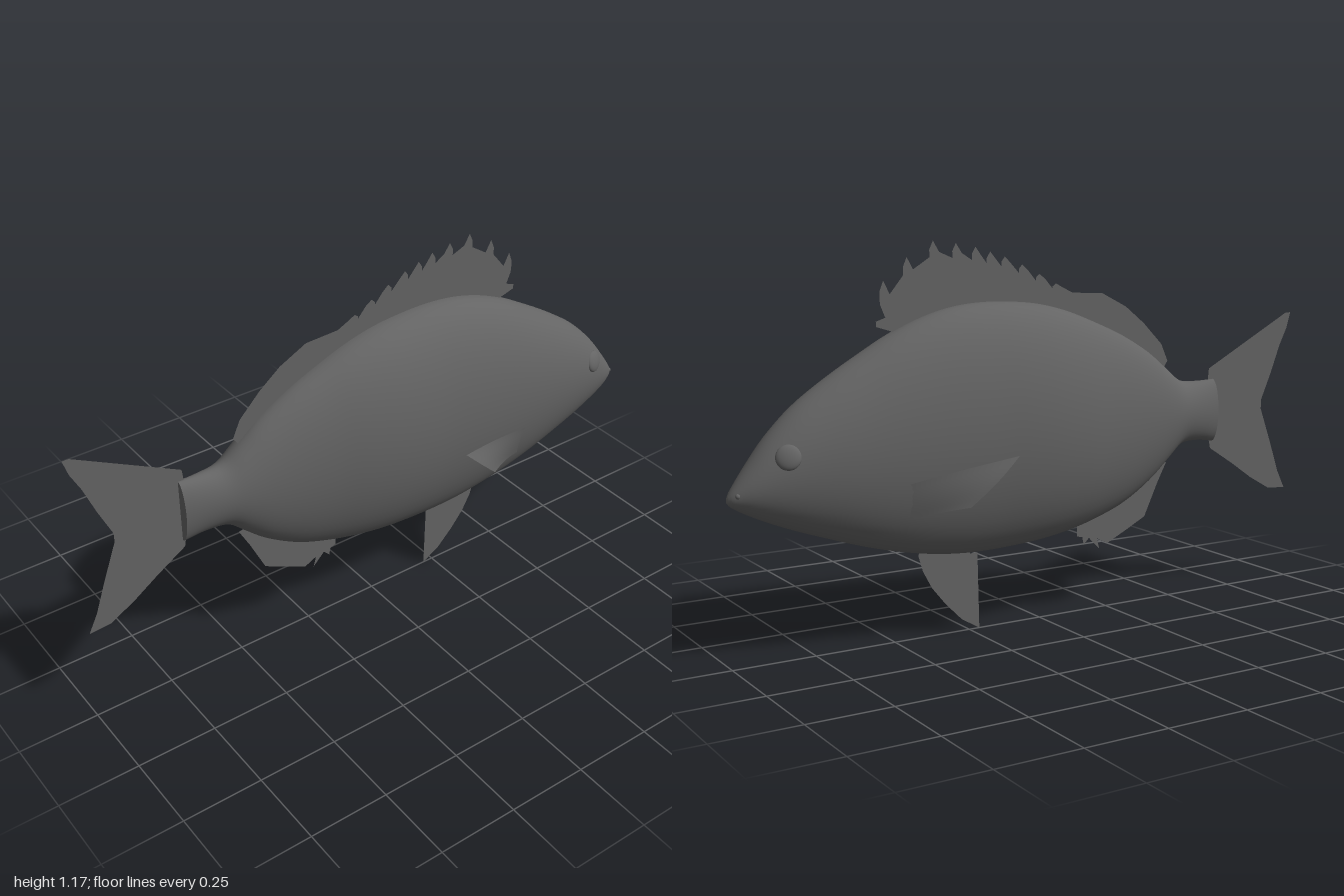
import * as THREE from 'three';

// Body stations from tail to snout: x, top y, bottom y, half width
const STATIONS = [
  [-0.67, 0.705, 0.5, 0.035], [-0.6, 0.703, 0.508, 0.048], [-0.53, 0.71, 0.5, 0.062],
  [-0.47, 0.755, 0.45, 0.075], [-0.4, 0.81, 0.39, 0.088], [-0.3, 0.868, 0.33, 0.106],
  [-0.2, 0.912, 0.293, 0.125], [-0.1, 0.95, 0.268, 0.145], [0, 0.975, 0.252, 0.157],
  [0.1, 0.986, 0.244, 0.16], [0.2, 0.988, 0.24, 0.157], [0.3, 0.978, 0.243, 0.154],
  [0.4, 0.952, 0.255, 0.149], [0.5, 0.91, 0.275, 0.142], [0.6, 0.855, 0.302, 0.132],
  [0.7, 0.795, 0.335, 0.119], [0.8, 0.725, 0.37, 0.1], [0.88, 0.648, 0.402, 0.079],
  [0.94, 0.572, 0.43, 0.056], [0.985, 0.51, 0.455, 0.028], [1, 0.485, 0.469, 0.008],
];
const SIDES = 48, RINGS = 80;

// Lofted elliptical body with closed ends
function bodyGeometry() {
  const line = (k) => new THREE.CatmullRomCurve3(
    STATIONS.map((s) => new THREE.Vector3(s[0], s[k], s[3])), false, 'catmullrom', 0.5);
  const top = line(1), bottom = line(2);
  const pos = [], index = [];
  for (let i = 0; i <= RINGS; i++) {
    const t = top.getPoint(i / RINGS), b = bottom.getPoint(i / RINGS);
    for (let j = 0; j < SIDES; j++) {
      const a = (j / SIDES) * Math.PI * 2;
      pos.push(t.x, (t.y + b.y) / 2 + (t.y - b.y) / 2 * Math.cos(a), t.z * Math.sin(a));
      if (i === RINGS) continue;
      const p = i * SIDES + j, q = i * SIDES + (j + 1) % SIDES;
      index.push(p, q, p + SIDES, q, q + SIDES, p + SIDES);
    }
  }
  // Snout tip fan; the tail end has its own flat cap
  const tip = pos.length / 3, last = RINGS * SIDES;
  pos.push(1, 0.477, 0);
  for (let j = 0; j < SIDES; j++) index.push(last + j, last + (j + 1) % SIDES, tip);
  const g = new THREE.BufferGeometry();
  g.setAttribute('position', new THREE.Float32BufferAttribute(pos, 3));
  g.setIndex(index);
  g.computeVertexNormals();
  return g;
}

// Flat fin outline in the middle plane
function finGeometry(points) {
  return new THREE.ShapeGeometry(new THREE.Shape(points.map(([x, y]) => new THREE.Vector2(x, y))));
}

// Dorsal outline: smooth rear lobe, then backward-leaning spines
function dorsalOutline() {
  const pts = [[-0.46, 0.74], [-0.485, 0.775], [-0.46, 0.83], [-0.39, 0.9], [-0.32, 0.955],
    [-0.23, 1.0], [-0.12, 1.005]];
  const spines = [[-0.06, 1.035], [0, 1.065], [0.06, 1.095], [0.12, 1.12], [0.17, 1.135],
    [0.22, 1.15], [0.285, 1.162], [0.36, 1.17], [0.445, 1.125], [0.52, 1.06]];
  spines.forEach(([x, y], i) => {
    const d = 0.012 + 0.0035 * i;
    pts.push([x - 0.02, y - d * 0.9], [x, y], [x + 0.012, y - d * 0.7], [x + 0.012, y - d * 1.3]);
  });
  pts.push([0.53, 0.99], [0.515, 0.955], [0.545, 0.945], [0.545, 0.93], [0.48, 0.91],
    [0.4, 0.9], [0.2, 0.93], [0, 0.92], [-0.2, 0.86], [-0.35, 0.78]);
  return pts;
}

const TAIL = [[-0.655, 0.74], [-0.98, 0.91], [-1, 0.91], [-0.985, 0.86], [-0.955, 0.8],
  [-0.92, 0.71], [-0.88, 0.62], [-0.88, 0.59], [-0.925, 0.47], [-0.96, 0.37], [-0.99, 0.31],
  [-0.92, 0.315], [-0.84, 0.36], [-0.76, 0.415], [-0.665, 0.475], [-0.64, 0.6]];

const ANAL = [[-0.485, 0.445], [-0.45, 0.38], [-0.4, 0.275], [-0.33, 0.24], [-0.256, 0.205],
  [-0.215, 0.225], [-0.225, 0.19], [-0.185, 0.23], [-0.165, 0.21], [-0.16, 0.235],
  [-0.14, 0.24], [-0.14, 0.33], [-0.3, 0.38], [-0.42, 0.46]];

const PELVIC = [[0.215, 0], [0.275, 0.035], [0.33, 0.09], [0.375, 0.145], [0.405, 0.2],
  [0.42, 0.25], [0.4, 0.3], [0.25, 0.29], [0.245, 0.235], [0.22, 0.235]];

// Side fin: a four-cornered patch, slightly cupped towards the body
function pectoralGeometry(side) {
  const g = new THREE.PlaneGeometry(1, 1, 10, 6), p = g.attributes.position;
  const rootTop = new THREE.Vector3(0.56, 0.485, 0.125), rootLow = new THREE.Vector3(0.52, 0.385, 0.103);
  const tipTop = new THREE.Vector3(0.2, 0.56, 0.215), tipLow = new THREE.Vector3(0.345, 0.42, 0.187);
  for (let i = 0; i < p.count; i++) {
    const u = p.getX(i) + 0.5, v = p.getY(i) + 0.5;
    const v1 = rootLow.clone().lerp(rootTop, v).lerp(tipLow.clone().lerp(tipTop, v), u);
    const cup = 0.008 * Math.sin(Math.PI * u) - 0.012 * Math.sin(Math.PI * v) * u;
    p.setXYZ(i, v1.x, v1.y, side * (v1.z - cup));
  }
  g.computeVertexNormals();
  return g;
}

export function createModel() {
  const fish = new THREE.Group();
  fish.name = 'fish';
  const skin = new THREE.MeshStandardMaterial({ color: 0x646464 });
  skin.name = 'grey skin';
  skin.side = THREE.DoubleSide;
  const add = (name, geometry) => {
    const mesh = new THREE.Mesh(geometry, skin);
    mesh.name = name;
    fish.add(mesh);
    return mesh;
  };

  add('body', bodyGeometry());
  const cap = add('tailStump', new THREE.CircleGeometry(1, SIDES));
  cap.scale.set(0.035, 0.1025, 1);
  cap.rotation.y = -Math.PI / 2;
  cap.position.set(-0.67, 0.6025, 0);

  // Fins in the middle plane
  add('dorsalFin', finGeometry(dorsalOutline()));
  add('tailFin', finGeometry(TAIL));
  add('analFin', finGeometry(ANAL));
  add('pelvicFin', finGeometry(PELVIC));

  // Paired side fins, eyes and nostrils
  for (const side of [1, -1]) {
    const label = side > 0 ? 'front' : 'back';
    add(label + 'PectoralFin', pectoralGeometry(side));
    const eye = add(label + 'Eye', new THREE.SphereGeometry(1, 24, 16));
    eye.scale.set(0.036, 0.036, 0.014);
    eye.position.set(0.85, 0.595, side * 0.077);
    eye.rotation.set(-side * 0.3, side * 0.35, 0);
    const nostril = add(label + 'Nostril', new THREE.SphereGeometry(0.008, 12, 8));
    nostril.position.set(0.978, 0.492, side * 0.028);
  }
  return fish;
}
